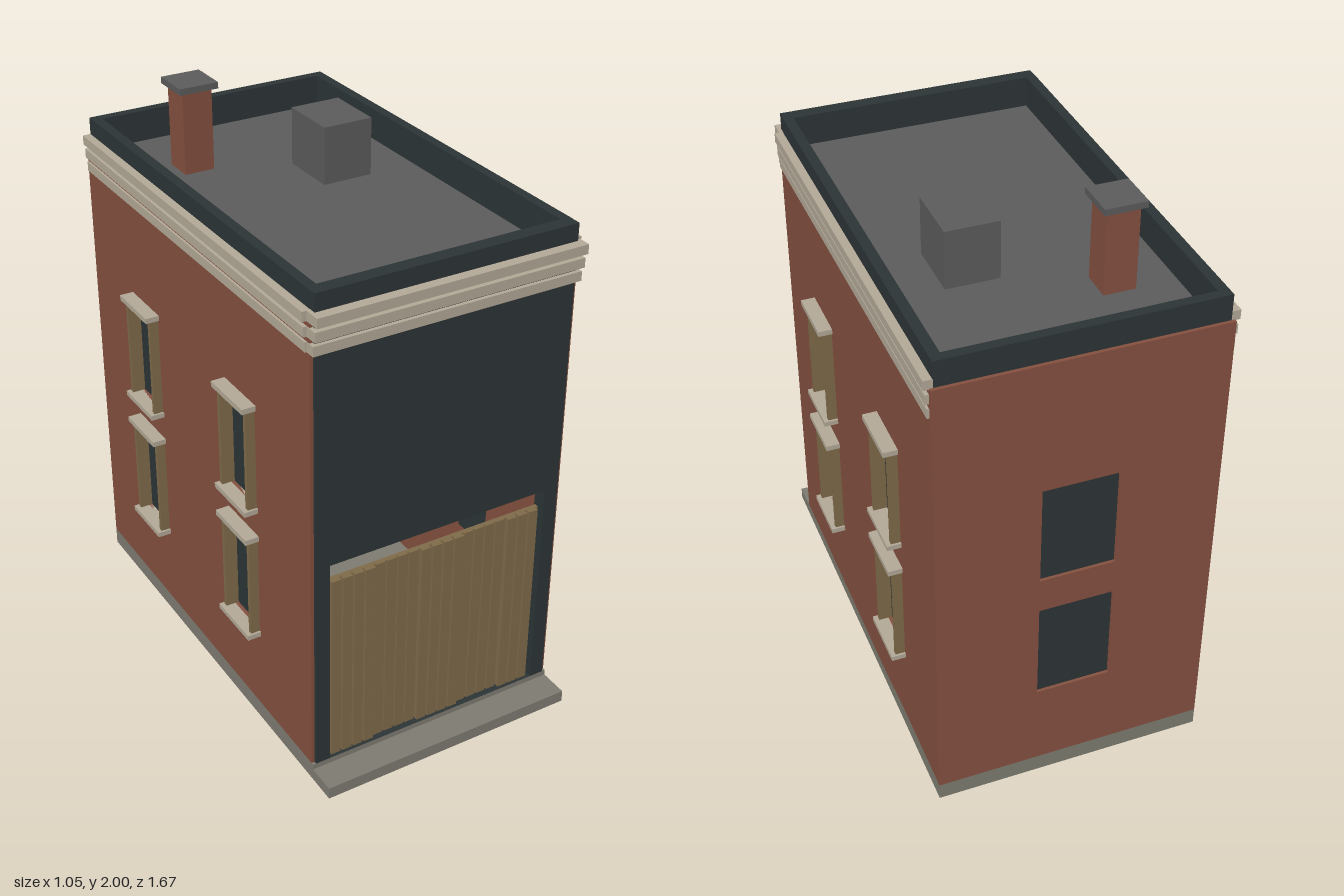
import * as THREE from 'three';

const mat = (name, color) => {
  const m = new THREE.MeshStandardMaterial({ color });
  m.name = name;
  return m;
};

export function createModel() {
  const model = new THREE.Group();
  model.name = 'building';
  const brick = mat('brick', 0x855140);
  const dark = mat('dark slate', 0x2d3536);
  const stone = mat('pale stone', 0xb4aa98);
  const wood = mat('wood', 0x7f6b4a);
  const concrete = mat('concrete', 0x7f7d72);
  const roofGrey = mat('roof grey', 0x5c5c5c);

  // Box given by its lower and upper corner
  const box = (name, material, x0, x1, y0, y1, z0, z1, parent = model) => {
    const mesh = new THREE.Mesh(new THREE.BoxGeometry(x1 - x0, y1 - y0, z1 - z0), material);
    mesh.position.set((x0 + x1) / 2, (y0 + y1) / 2, (z0 + z1) / 2);
    mesh.name = name;
    parent.add(mesh);
    return mesh;
  };

  const rect = (Type, a0, a1, b0, b1) => {
    const p = new Type();
    p.moveTo(a0, b0);
    p.lineTo(a1, b0);
    p.lineTo(a1, b1);
    p.lineTo(a0, b1);
    p.closePath();
    return p;
  };

  // Flat panel with rectangular openings, thickness along +z
  const panel = (name, material, outline, openings, depth) => {
    const shape = rect(THREE.Shape, ...outline);
    openings.forEach((o) => shape.holes.push(rect(THREE.Path, ...o)));
    const mesh = new THREE.Mesh(new THREE.ExtrudeGeometry(shape, { depth, bevelEnabled: false }), material);
    mesh.name = name;
    model.add(mesh);
    return mesh;
  };

  // Base and front step
  box('base', concrete, -0.474, 0.474, 0, 0.063, -0.834, 0.73);
  box('frontStep', concrete, -0.474, 0.474, 0, 0.043, 0.73, 0.834);

  const floors = [[0.38, 0.75], [0.878, 1.243]];
  const bays = [0.281, -0.409];

  // Side walls with framed windows
  for (const s of [1, -1]) {
    const openings = [];
    for (const c of bays) for (const [y0, y1] of floors) openings.push([-c - 0.082, -c + 0.082, y0, y1]);
    const wall = panel('sideWall', brick, [-0.72, 0.822, 0.05, 1.71], openings, 0.022);
    wall.rotation.y = Math.PI / 2;
    wall.position.x = s > 0 ? 0.452 : -0.474;

    for (const c of bays) {
      for (const [y0, y1] of floors) {
        const win = new THREE.Group();
        win.name = 'sideWindow';
        model.add(win);
        const part = (name, m, a, b, ...rest) => box(name, m, Math.min(s * a, s * b), Math.max(s * a, s * b), ...rest, win);
        part('windowPane', dark, 0.453, 0.461, y0, y1, c - 0.084, c + 0.084);
        for (const e of [-1, 1]) {
          const z = c + e * 0.088;
          part('windowJamb', wood, 0.455, 0.507, y0, y1, z - 0.008, z + 0.008);
        }
        part('windowLintel', stone, 0.455, 0.523, y1, y1 + 0.019, c - 0.104, c + 0.104);
        part('windowSill', stone, 0.455, 0.523, y0 - 0.018, y0, c - 0.104, c + 0.104);
      }
    }
  }

  // Back wall with plain recessed windows
  const backOpenings = floors.map(([y0, y1]) => [-0.128, 0.128, y0, y1]);
  panel('backWall', brick, [-0.474, 0.474, 0.05, 1.71], backOpenings, 0.024).position.z = -0.834;
  for (const [y0, y1] of floors) box('backWindowPane', dark, -0.13, 0.13, y0, y1, -0.823, -0.815);

  // Front facade, open at the gate
  panel('frontFacade', dark, [-0.462, 0.462, 0.063, 1.8], [[-0.41, 0.41, 0.0631, 0.848]], 0.05).position.z = 0.68;

  // Slatted gate: backing board and proud slats
  box('gateBoard', wood, -0.41, 0.41, 0.063, 0.768, 0.685, 0.7);
  const count = 19;
  const pitch = 0.8 / count;
  for (let i = 0; i < count; i++) {
    const x = -0.4 + (i + 0.5) * pitch;
    const front = i % 8 < 4 ? 0.718 : 0.708;
    box('gateSlat', wood, x - pitch * 0.42, x + pitch * 0.42, 0.063, 0.77, 0.698, front);
  }

  // Roof deck and parapet
  box('roofDeck', roofGrey, -0.45, 0.45, 1.66, 1.69, -0.81, 0.7);
  for (const s of [-1, 1]) {
    box('sideParapet', dark, s * 0.4455 - 0.0175, s * 0.4455 + 0.0175, 1.64, 1.8, -0.822, 0.7);
  }
  box('backParapet', dark, -0.43, 0.43, 1.64, 1.8, -0.822, -0.788);

  // Three-band cornice around the front and sides
  for (let i = 0; i < 3; i++) {
    const y0 = 1.607 + i * 0.05;
    const y1 = y0 + 0.033;
    const x = 0.482 + i * 0.005;
    box('frontCornice', stone, -0.476, 0.476, y0, y1, 0.7, 0.744 + i * 0.011);
    box('leftCornice', stone, 0.46, x, y0, y1, -0.822, 0.708);
    box('rightCornice', stone, -x, -0.46, y0, y1, -0.822, 0.708);
  }

  // Chimney and roof box
  box('chimney', brick, -0.288, -0.18, 1.68, 1.98, -0.543, -0.435);
  box('chimneyCap', roofGrey, -0.304, -0.163, 1.978, 2, -0.56, -0.418);
  box('roofBox', roofGrey, 0.072, 0.253, 1.68, 1.892, -0.342, -0.125);

  return model;
}
